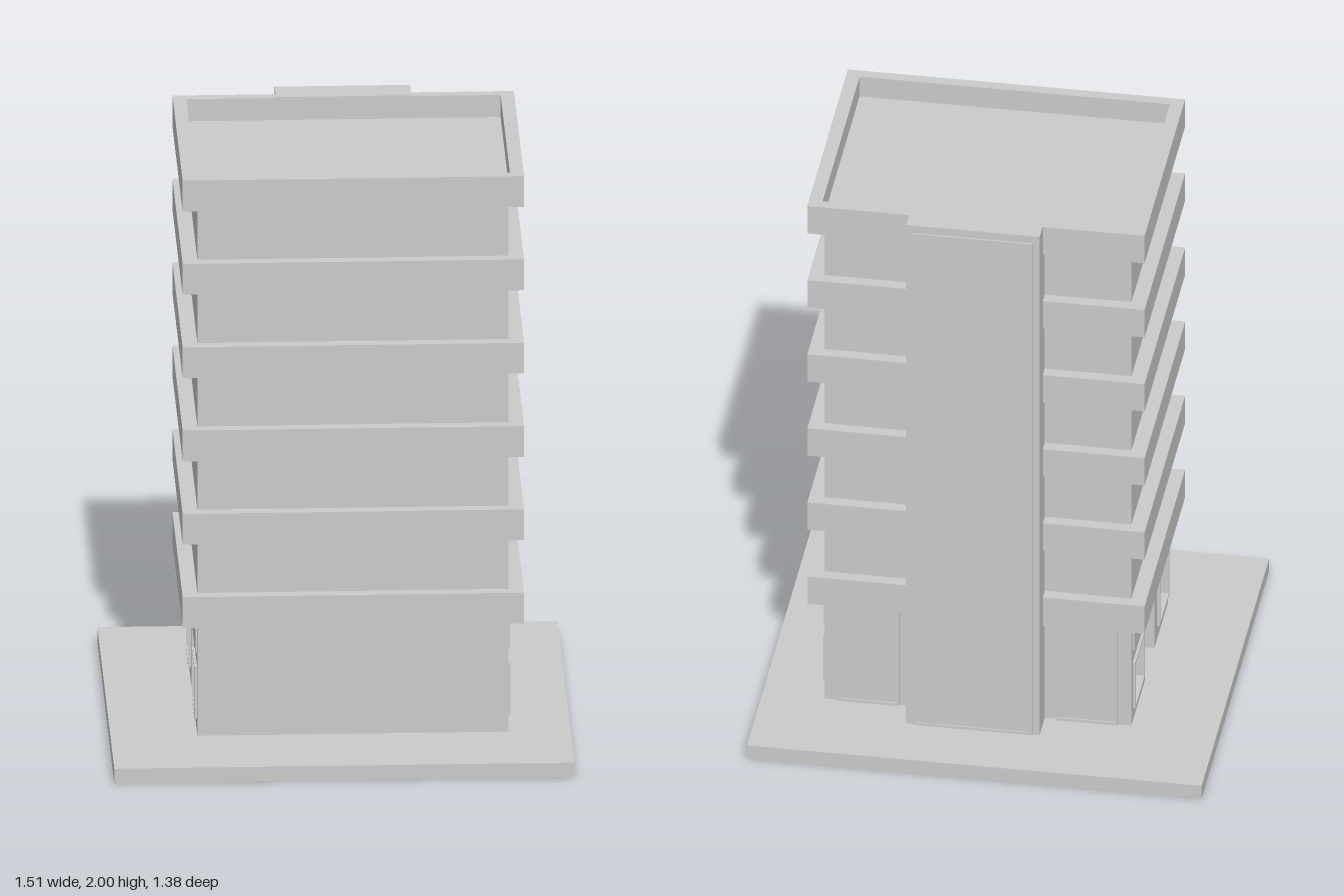
import * as THREE from 'three';

const mat = new THREE.MeshStandardMaterial({ color: 0xcccccc, flatShading: true });

function add(parent, name, geo) {
  const mesh = new THREE.Mesh(geo, mat);
  mesh.name = name;
  parent.add(mesh);
  return mesh;
}

// Box given by its lower and upper limits on each axis
function box(parent, name, [x0, x1], [y0, y1], [z0, z1]) {
  const mesh = add(parent, name, new THREE.BoxGeometry(x1 - x0, y1 - y0, z1 - z0));
  mesh.position.set((x0 + x1) / 2, (y0 + y1) / 2, (z0 + z1) / 2);
  return mesh;
}

function rect(PathType, x0, x1, y0, y1) {
  return new PathType([[x0, y0], [x1, y0], [x1, y1], [x0, y1]].map(p => new THREE.Vector2(...p)));
}

// Rectangular frame in the xy plane, from z to z + depth
function frame(parent, name, [x0, x1], [y0, y1], border, z, depth) {
  const shape = rect(THREE.Shape, x0, x1, y0, y1);
  shape.holes.push(rect(THREE.Path, x0 + border, x1 - border, y0 + border, y1 - border));
  const mesh = add(parent, name, new THREE.ExtrudeGeometry(shape, { depth, bevelEnabled: false }));
  mesh.position.z = z;
  return mesh;
}

const HX = 0.51, HZ = 0.375; // half size of the tower
const BX = 0.56, BZ = 0.415; // half size of the balcony bands
const RECESS = 0.05;
const GROUND = 0.05, FLOOR1 = 0.44, TOP = 1.997;

// Ground-floor side wall with a doorway, two windows and a sign, facing local +z
function shopFront() {
  const group = new THREE.Group();
  const wall = new THREE.Shape([
    [-HZ, GROUND], [-0.095, GROUND], [-0.095, 0.3], [0.095, 0.3],
    [0.095, GROUND], [HZ, GROUND], [HZ, FLOOR1], [-HZ, FLOOR1],
  ].map(p => new THREE.Vector2(...p)));
  for (const s of [-1, 1]) {
    const x = s * 0.25;
    wall.holes.push(rect(THREE.Path, x - 0.09, x + 0.09, 0.107, 0.273));
    frame(group, 'windowFrame', [x - 0.098, x + 0.098], [0.1, 0.28], 0.008, HX - 0.02, 0.029);
  }
  const mesh = add(group, 'shopWall', new THREE.ExtrudeGeometry(wall, { depth: RECESS, bevelEnabled: false }));
  mesh.position.z = HX - RECESS;
  box(group, 'signBoard', [-0.355, 0.355], [0.333, 0.413], [HX - 0.01, HX + 0.006]);
  return group;
}

export function createModel() {
  const model = new THREE.Group();
  box(model, 'basePlate', [-0.755, 0.755], [0, GROUND], [-0.69, 0.69]);

  const tower = new THREE.Group();
  tower.name = 'tower';
  tower.position.set(0.04, 0, 0.005);
  model.add(tower);

  // Walls, narrower on the ground floor to leave room for the shop fronts
  box(tower, 'groundFloorCore', [-HX + RECESS, HX - RECESS], [GROUND, FLOOR1], [-HZ, HZ]);
  box(tower, 'upperWalls', [-HX, HX], [FLOOR1, 1.92], [-HZ, HZ]);
  for (const s of [-1, 1]) {
    const side = shopFront();
    side.name = s > 0 ? 'leftShopFront' : 'rightShopFront';
    side.rotation.y = s * Math.PI / 2;
    tower.add(side);
  }

  // Projecting floor bands; the top one is the open parapet
  for (let i = 0; i < 5; i++) {
    const y = FLOOR1 + i * 0.29;
    box(tower, 'floorBand', [-BX, BX], [y, y + 0.107], [-BZ, BZ]);
  }
  const ring = rect(THREE.Shape, -BX, BX, -BZ, BZ);
  ring.holes.push(rect(THREE.Path, -HX - 0.005, HX + 0.005, -HZ - 0.003, HZ + 0.003));
  const parapet = add(tower, 'parapet', new THREE.ExtrudeGeometry(ring, { depth: TOP - 1.89, bevelEnabled: false }));
  parapet.rotation.x = -Math.PI / 2;
  parapet.position.y = 1.89;
  box(tower, 'roof', [-0.53, 0.53], [1.9, 1.92], [-0.39, 0.39]);

  // Rear stair shaft with a tall framed panel
  box(tower, 'stairShaft', [-0.222, 0.222], [GROUND, 2], [-0.48, -HZ - 0.003]);
  frame(tower, 'shaftPanelFrame', [-0.198, 0.198], [GROUND, 1.972], 0.01, -0.486, 0.01);
  box(tower, 'shaftPanel', [-0.188, 0.188], [GROUND + 0.01, 1.962], [-0.482, -0.475]);

  // Framed panels on either side of the shaft
  for (const s of [-1, 1]) {
    const xs = [s * 0.26, s * 0.465].sort((a, b) => a - b);
    frame(tower, 'rearPanelFrame', xs, [GROUND, 0.42], 0.01, -HZ - 0.008, 0.015);
    box(tower, 'rearPanel', [xs[0] + 0.01, xs[1] - 0.01], [GROUND + 0.01, 0.41], [-HZ - 0.003, -HZ + 0.01]);
  }
  return model;
}
